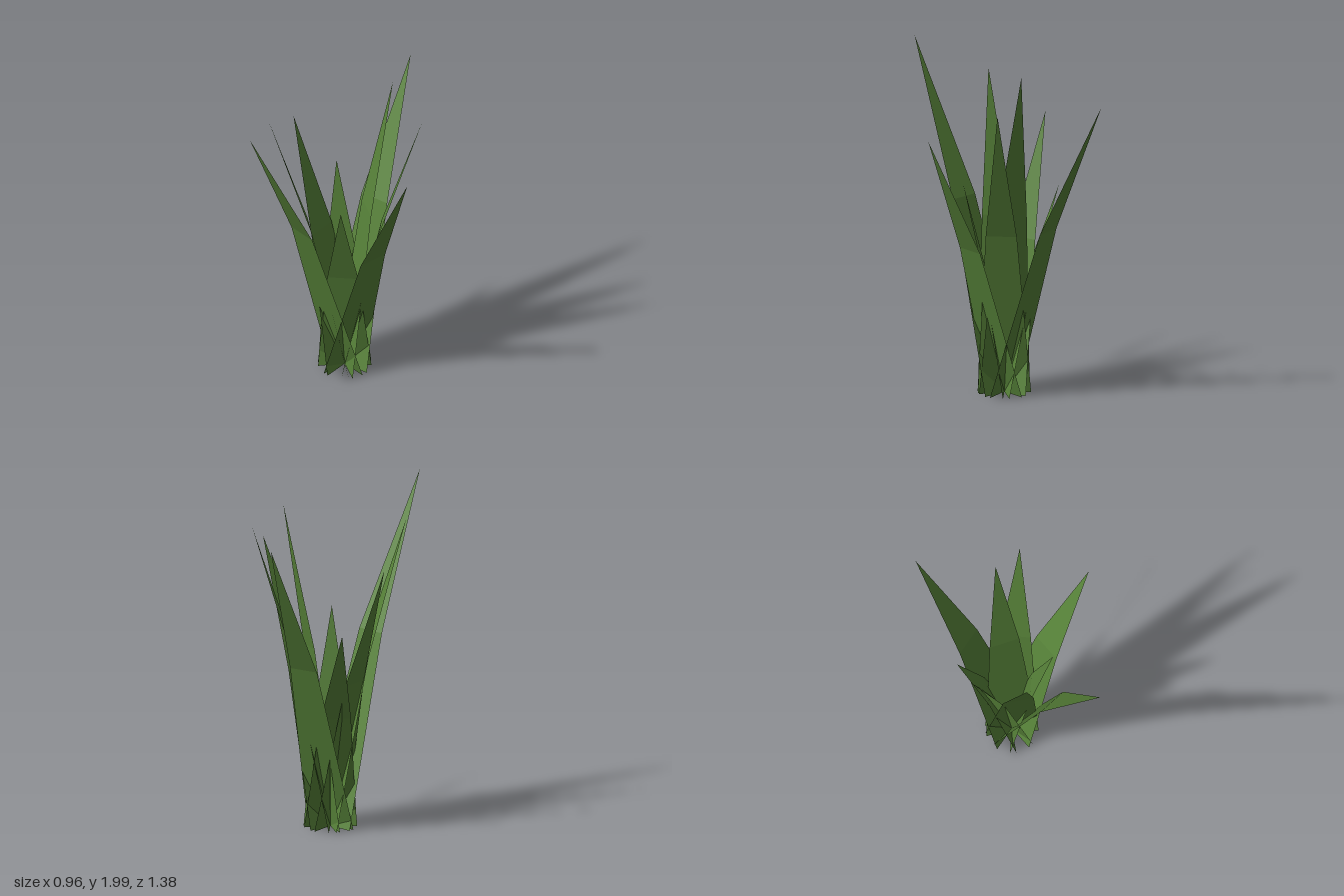
import * as THREE from 'three';

const BASE = { x: -0.1, z: -0.05 };

// Tip position (x, y, z) of each blade of the tuft
const TIPS = [
  [-0.065, 1.99, 0.69],
  [0.07, 1.255, 0.12],
  [0.48, 1.62, -0.04],
  [0.23, 1.79, -0.36],
  [0.01, 1.97, -0.32],
  [-0.28, 1.82, -0.69],
  [-0.375, 1.23, -0.215],
  [-0.48, 1.6, 0.02],
  [-0.325, 1.82, 0.34],
];

// A flat blade: wide at the root, bent outwards at the fold, ending in a point
function bladeGeometry([tx, ty, tz]) {
  const dx = tx - BASE.x, dz = tz - BASE.z;
  const length = Math.hypot(dx, dz);
  const sideX = dz / length, sideZ = -dx / length;
  const at = (run, rise, half) => [
    BASE.x + dx * run + sideX * half, ty * rise, BASE.z + dz * run + sideZ * half,
  ];
  const rootL = at(0, 0, -0.155), rootR = at(0, 0, 0.155);
  const foldL = at(0.45, 0.555, -0.09), foldR = at(0.45, 0.555, 0.09);
  const tip = at(1, 1, 0);
  const corners = [rootL, rootR, foldR, rootL, foldR, foldL, foldL, foldR, tip];
  const geometry = new THREE.BufferGeometry();
  geometry.setAttribute('position', new THREE.Float32BufferAttribute(corners.flat(), 3));
  geometry.computeVertexNormals();
  return geometry;
}

export function createModel() {
  const green = new THREE.MeshStandardMaterial({ color: 0x578239, side: THREE.DoubleSide, flatShading: true });
  green.name = 'leafGreen';
  const tuft = new THREE.Group();
  tuft.name = 'grassTuft';
  TIPS.forEach((tip, i) => {
    const blade = new THREE.Mesh(bladeGeometry(tip), green);
    blade.name = `blade${i + 1}`;
    tuft.add(blade);
  });
  return tuft;
}
